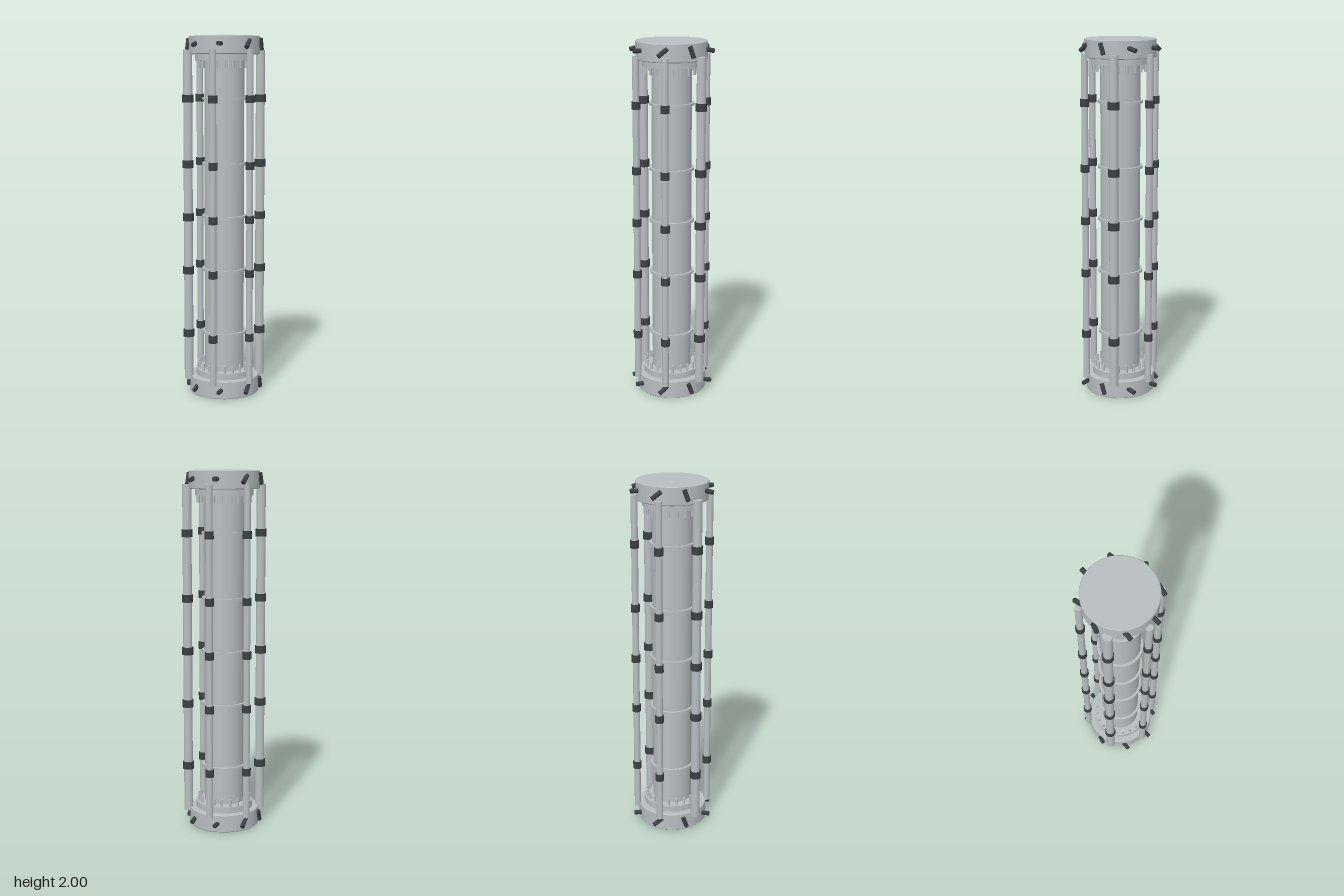
import * as THREE from 'three';

export function createModel() {
  const model = new THREE.Group();
  model.name = 'column';

  const metal = new THREE.MeshStandardMaterial({ color: 0xb8bdc0 });
  metal.name = 'light grey metal';
  const dark = new THREE.MeshStandardMaterial({ color: 0x3d4144 });
  dark.name = 'dark grey';

  // Upright cylinder centred at (x, y, z)
  function cylinder(name, radius, height, material, x, y, z, sides = 32) {
    const mesh = new THREE.Mesh(new THREE.CylinderGeometry(radius, radius, height, sides), material);
    mesh.name = name;
    mesh.position.set(x, y, z);
    model.add(mesh);
    return mesh;
  }

  // Central tube with its bands
  const bandHeights = [0.345, 0.705, 1.005, 1.3, 1.66];
  cylinder('centralTube', 0.11, 1.8, metal, 0, 1, 0, 64);
  for (const y of bandHeights) cylinder('tubeBand', 0.124, 0.014, metal, 0, y, 0, 64);

  // Outer rods and their clamps; two opposite rods are thicker
  for (let i = 0; i < 6; i++) {
    const angle = (i * Math.PI) / 3;
    const x = 0.205 * Math.sin(angle);
    const z = 0.205 * Math.cos(angle);
    const thick = i === 2 || i === 5;
    cylinder('rod', thick ? 0.025 : 0.0185, 1.845, metal, x, 1.0025, z);
    for (const y of bandHeights) cylinder('rodClamp', thick ? 0.031 : 0.0245, 0.042, dark, x, y, z);
  }

  // Cap profile: a drum with a narrow chamfer, split so that edges stay crisp
  const capProfile = [
    [0, 0], [0.191, 0], [0.191, 0], [0.195, 0.004], [0.195, 0.004],
    [0.195, 0.096], [0.195, 0.096], [0.191, 0.1], [0.191, 0.1], [0, 0.1],
  ];
  function addCap(y) {
    // Each pair of points is its own band
    for (let i = 0; i < capProfile.length; i += 2) {
      const points = [capProfile[i], capProfile[i + 1]].map(([r, h]) => new THREE.Vector2(r, h));
      const band = new THREE.Mesh(new THREE.LatheGeometry(points, 64), metal);
      band.name = 'endCap';
      band.position.y = y;
      model.add(band);
    }
  }
  // The chamfers between the flat bands
  function addChamfers(y) {
    for (const [low, high, h] of [[0.191, 0.195, 0], [0.195, 0.191, 0.096]]) {
      const points = [new THREE.Vector2(low, h), new THREE.Vector2(high, h + 0.004)];
      const ring = new THREE.Mesh(new THREE.LatheGeometry(points, 64), metal);
      ring.name = 'capChamfer';
      ring.position.y = y;
      model.add(ring);
    }
  }

  // Nozzles: bearing from the front in degrees, and direction as [y, z]
  const nozzles = [
    [11.25, 0, 1],
    [56.25, -0.6, 0.8],
    [101.25, 0.94, 0.34],
    [146.25, 0.24, 0.97],
  ];
  const up = new THREE.Vector3(0, 1, 0);
  function addNozzles(y) {
    for (const side of [1, -1]) {
      for (const [degrees, dy, dz] of nozzles) {
        const a = THREE.MathUtils.degToRad(degrees);
        const nozzle = cylinder('nozzle', 0.0125, 0.064, dark,
          side * 0.202 * Math.sin(a), y, side * 0.202 * Math.cos(a), 20);
        nozzle.quaternion.setFromUnitVectors(up, new THREE.Vector3(0, dy, side * dz).normalize());
      }
    }
  }

  // Both ends: cap, flange, ring of bolts and nozzles
  for (const top of [false, true]) {
    const mirror = (y) => (top ? 2 - y : y);
    addCap(top ? 1.9 : 0);
    addChamfers(top ? 1.9 : 0);
    addNozzles(top ? 1.955 : 0.05);
    cylinder('flange', 0.16, 0.04, metal, 0, mirror(0.115), 0, 64);
    for (let i = 0; i < 20; i++) {
      const a = (i * Math.PI) / 10;
      cylinder('bolt', 0.007, 0.05, metal, 0.146 * Math.sin(a), mirror(0.15), 0.146 * Math.cos(a), 10);
    }
  }
  return model;
}
